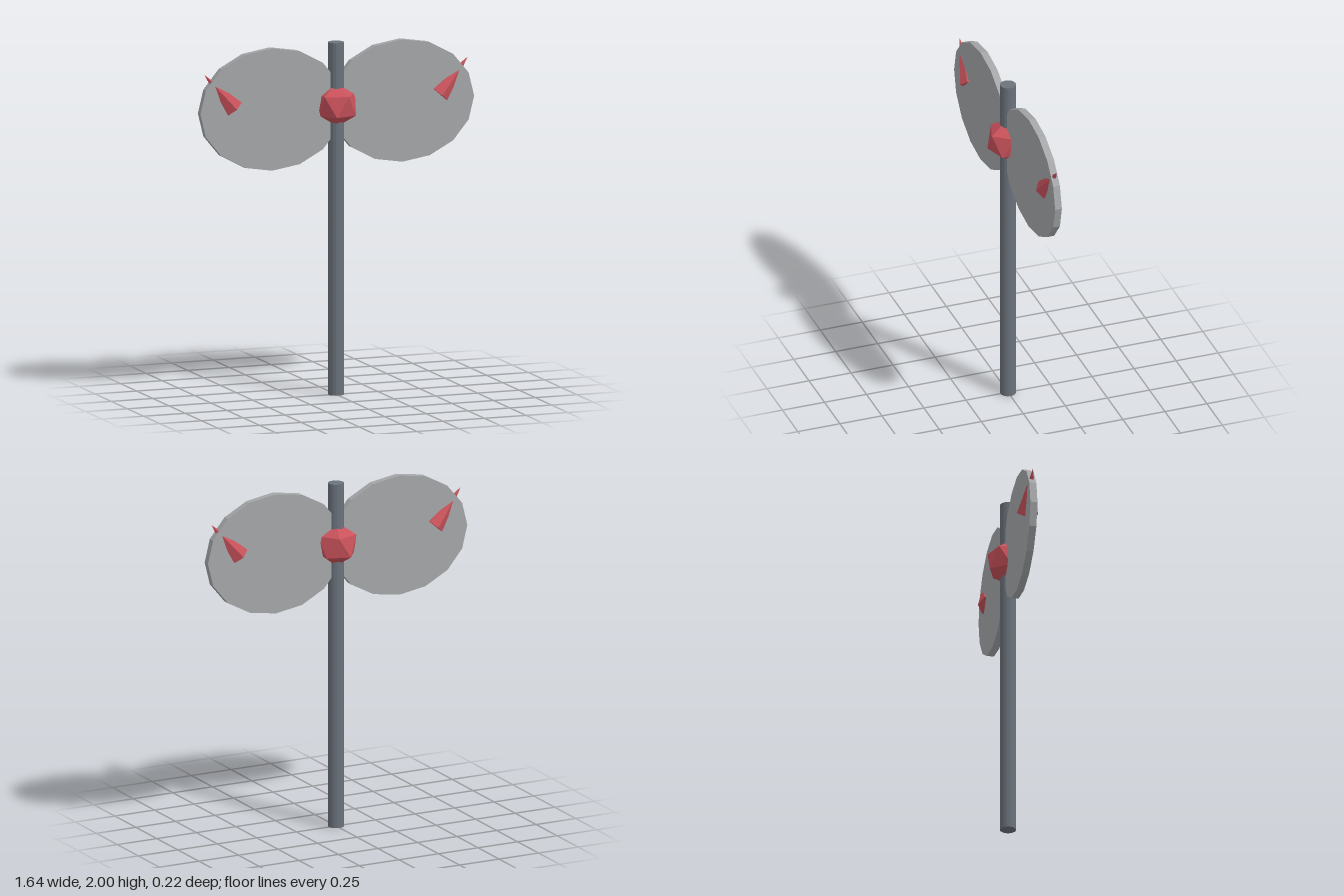
import * as THREE from 'three';
import { ConvexGeometry } from 'three/addons/geometries/ConvexGeometry.js';

const paint = (name, color) => {
  const m = new THREE.MeshStandardMaterial({ color, flatShading: true });
  m.name = name;
  return m;
};

export function createModel() {
  const poleGrey = paint('slate grey', 0x6b727b);
  const discGrey = paint('pale grey', 0xa4a6a8);
  const red = paint('red', 0xc9525b);
  const model = new THREE.Group();
  const hubY = 1.645;

  const add = (name, geometry, material, x, y) => {
    const mesh = new THREE.Mesh(geometry, material);
    mesh.name = name;
    mesh.position.set(x, y, 0);
    model.add(mesh);
    return mesh;
  };

  // Pole
  add('pole', new THREE.CylinderGeometry(0.045, 0.045, 2, 16), poleGrey, 0, 1);

  // Gem: icosahedron standing on a corner, threaded on the pole
  const r = 0.129;
  const corners = [new THREE.Vector3(0, r, 0), new THREE.Vector3(0, -r, 0)];
  for (let i = 0; i < 10; i++) {
    const a = (i * Math.PI) / 5;
    const h = (i % 2 ? -r : r) / Math.sqrt(5);
    corners.push(new THREE.Vector3(0.8944 * r * Math.cos(a), h, 0.8944 * r * Math.sin(a)));
  }
  add('gem', new ConvexGeometry(corners), red, 0, hubY);

  // Oval wing plates, each pierced by a spike
  const plate = new THREE.CylinderGeometry(1, 1, 0.04, 16).rotateX(Math.PI / 2).scale(0.43, 0.347, 1);
  const base = new THREE.Vector2(0.616, 1.665);
  const tip = new THREE.Vector2(0.788, 1.864);
  const spike = new THREE.ConeGeometry(0.06, base.distanceTo(tip), 6);
  for (const [label, side] of [['left', 1], ['right', -1]]) {
    add(label + 'Wing', plate, discGrey, side * 0.39, hubY);
    const mesh = add(label + 'Spike', spike, red, side * (base.x + tip.x) / 2, (base.y + tip.y) / 2);
    mesh.rotation.z = -side * Math.atan2(tip.x - base.x, tip.y - base.y);
  }
  return model;
}
